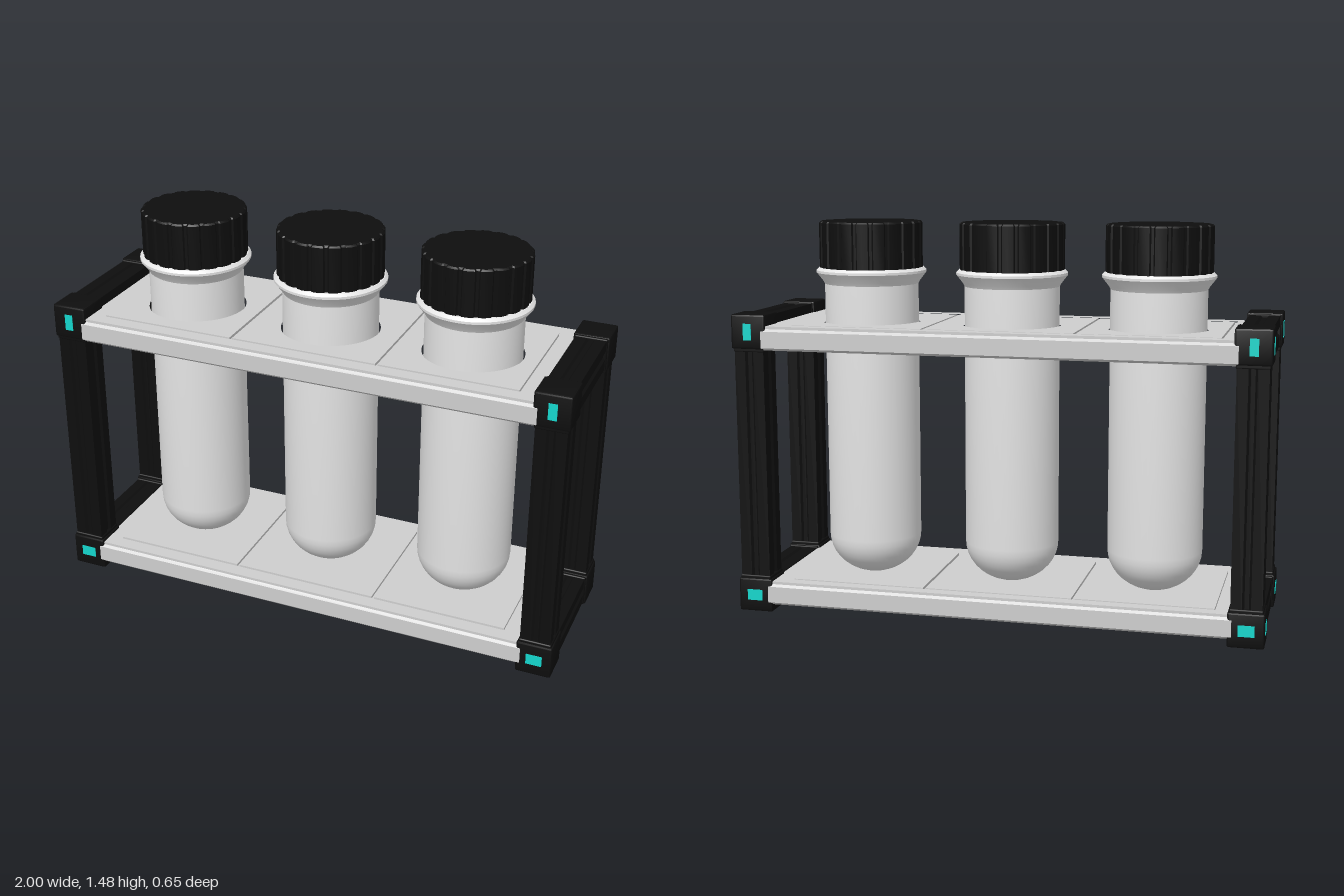
import * as THREE from 'three';
import { toCreasedNormals } from 'three/addons/utils/BufferGeometryUtils.js';
import { RoundedBoxGeometry } from 'three/addons/geometries/RoundedBoxGeometry.js';

const mat = (name, color) => Object.assign(new THREE.MeshStandardMaterial({ color }), { name });

const TUBE_X = [-0.56, -0.005, 0.55];
const TUBE_Z = -0.007;

function rectangle(x0, x1, z0, z1, Type = THREE.Shape) {
  return new Type([[x0, z0], [x1, z0], [x1, z1], [x0, z1]].map(([x, z]) => new THREE.Vector2(x, -z)));
}

function addHole(shape, x, r) {
  shape.holes.push(new THREE.Path().absarc(x, -TUBE_Z, r, 0, Math.PI * 2, true));
}

// Extrudes a floor-plan shape upwards from y0 to y1
function slab(shape, y0, y1, bevel = 0) {
  const g = new THREE.ExtrudeGeometry(shape, {
    depth: y1 - y0 - 2 * bevel, bevelEnabled: bevel > 0, bevelSize: bevel, bevelOffset: -bevel,
    bevelThickness: bevel, bevelSegments: 1, curveSegments: 24,
  });
  return toCreasedNormals(g.rotateX(-Math.PI / 2).translate(0, y0 + bevel, 0), 0.5);
}

export function createModel() {
  const root = new THREE.Group();
  root.name = 'tubeRack';
  const black = mat('black plastic', 0x0e0e0e);
  const grey = mat('light grey tray', 0xcecece);
  const white = mat('white tube', 0xe6e6e6);
  const teal = mat('teal inlay', 0x14d6cc);

  const add = (parent, name, geometry, material, x = 0, y = 0, z = 0) => {
    const mesh = new THREE.Mesh(geometry, material);
    mesh.name = name;
    mesh.position.set(x, y, z);
    parent.add(mesh);
    return mesh;
  };

  // Trays: a bevelled slab, a raised rim and three panels separated by narrow grooves
  function tray(name, y, holeRadius, through) {
    const g = new THREE.Group();
    g.name = name;
    const base = rectangle(-0.882, 0.882, -0.322, 0.322);
    if (through) TUBE_X.forEach((x) => addHole(base, x, holeRadius));
    add(g, name + 'Slab', slab(base, y, y + 0.08, 0.009), grey);
    const rim = rectangle(-0.873, 0.873, -0.313, 0.313);
    rim.holes.push(rectangle(-0.827, 0.809, -0.268, 0.26, THREE.Path));
    add(g, name + 'Rim', slab(rim, y + 0.079, y + 0.09), grey);
    [[-0.816, -0.298], [-0.288, 0.272], [0.282, 0.798]].forEach(([x0, x1], i) => {
      const panel = rectangle(x0, x1, -0.257, 0.249);
      addHole(panel, TUBE_X[i], holeRadius);
      add(g, name + 'Panel', slab(panel, y + 0.079, y + 0.09), grey);
    });
    root.add(g);
  }
  tray('bottomTray', 0.03, 0.13, false);
  tray('topTray', 1.012, 0.195, true);

  // End frames: square bars with a shallow slot down each side, joined by corner blocks
  const a = 0.057, s = 0.016, d = 0.008;
  const side = [[a, -a], [a, -s], [a - d, -s + d], [a - d, s - d], [a, s]];
  const outline = [0, 1, 2, 3].flatMap((k) => side.map(([x, y]) =>
    new THREE.Vector2(x, y).rotateAround(new THREE.Vector2(), k * Math.PI / 2)));
  const bar = (length) => new THREE.ExtrudeGeometry(new THREE.Shape(outline), { depth: length, bevelEnabled: false })
    .translate(0, 0, -length / 2);
  const postGeo = bar(0.94).rotateX(Math.PI / 2);
  const railGeo = bar(0.42);
  const blockGeo = toCreasedNormals(new RoundedBoxGeometry(0.134, 0.13, 0.131, 1, 0.007), 0.4);
  const sleeveY = new RoundedBoxGeometry(0.122, 0.03, 0.122, 1, 0.005);
  const sleeveZ = new RoundedBoxGeometry(0.122, 0.122, 0.03, 1, 0.005);

  for (const sx of [-1, 1]) {
    const frame = new THREE.Group();
    frame.name = sx > 0 ? 'leftEndFrame' : 'rightEndFrame';
    const x = sx * 0.933;
    for (const sz of [-1, 1]) {
      const z = sz * 0.2555;
      add(frame, 'post', postGeo, black, x, 0.573, z);
      for (const [y, up, w, h] of [[0.065, 1, 0.06, 0.042], [1.08, -1, 0.032, 0.062]]) {
        add(frame, 'cornerBlock', blockGeo, black, x, y, z);
        add(frame, 'postSleeve', sleeveY, black, x, y + up * 0.061, z);
        add(frame, 'railSleeve', sleeveZ, black, x, y, z - sz * 0.061);
        // Teal inlays on the front and back, and on the outside of one end only
        add(frame, 'inlay', new THREE.BoxGeometry(w, h, 0.006), teal, sx * 0.935, y, sz * 0.32);
        if (sx < 0) add(frame, 'sideInlay', new THREE.BoxGeometry(0.006, h, w), teal, -0.999, y, z);
      }
    }
    add(frame, 'bottomRail', railGeo, black, x, 0.065, 0);
    add(frame, 'topRail', railGeo, black, x, 1.08, 0);
    root.add(frame);
  }

  // Tube: rounded bottom, straight wall and flared collar
  const profile = [];
  for (let i = 0; i <= 10; i++) {
    const t = (i / 10) * Math.PI / 2;
    profile.push(new THREE.Vector2(0.179 * Math.sin(t), 0.263 - 0.156 * Math.cos(t)));
  }
  [[0.179, 1.245], [0.186, 1.257], [0.21, 1.288], [0.21, 1.297], [0.2, 1.307], [0, 1.307]]
    .forEach(([r, y]) => profile.push(new THREE.Vector2(r, y)));
  const tubeGeo = toCreasedNormals(new THREE.LatheGeometry(profile, 48), 0.5);

  // Cap: disc with narrow grip notches around the edge
  const capPoints = [];
  const ribs = 20, step = (Math.PI * 2) / ribs;
  for (let i = 0; i < ribs; i++) {
    for (const [f, r] of [[0.08, 0.19], [0.16, 0.196], [0.5, 0.198], [0.84, 0.196], [0.92, 0.19]]) {
      const t = (i + f) * step;
      capPoints.push(new THREE.Vector2(r * Math.cos(t), r * Math.sin(t)));
    }
  }
  const capGeo = slab(new THREE.Shape(capPoints), 1.302, 1.482, 0.006);

  TUBE_X.forEach((x) => {
    const g = new THREE.Group();
    g.name = 'cappedTube';
    g.position.set(x, 0, TUBE_Z);
    add(g, 'tube', tubeGeo, white);
    add(g, 'cap', capGeo, black);
    root.add(g);
  });

  return root;
}
